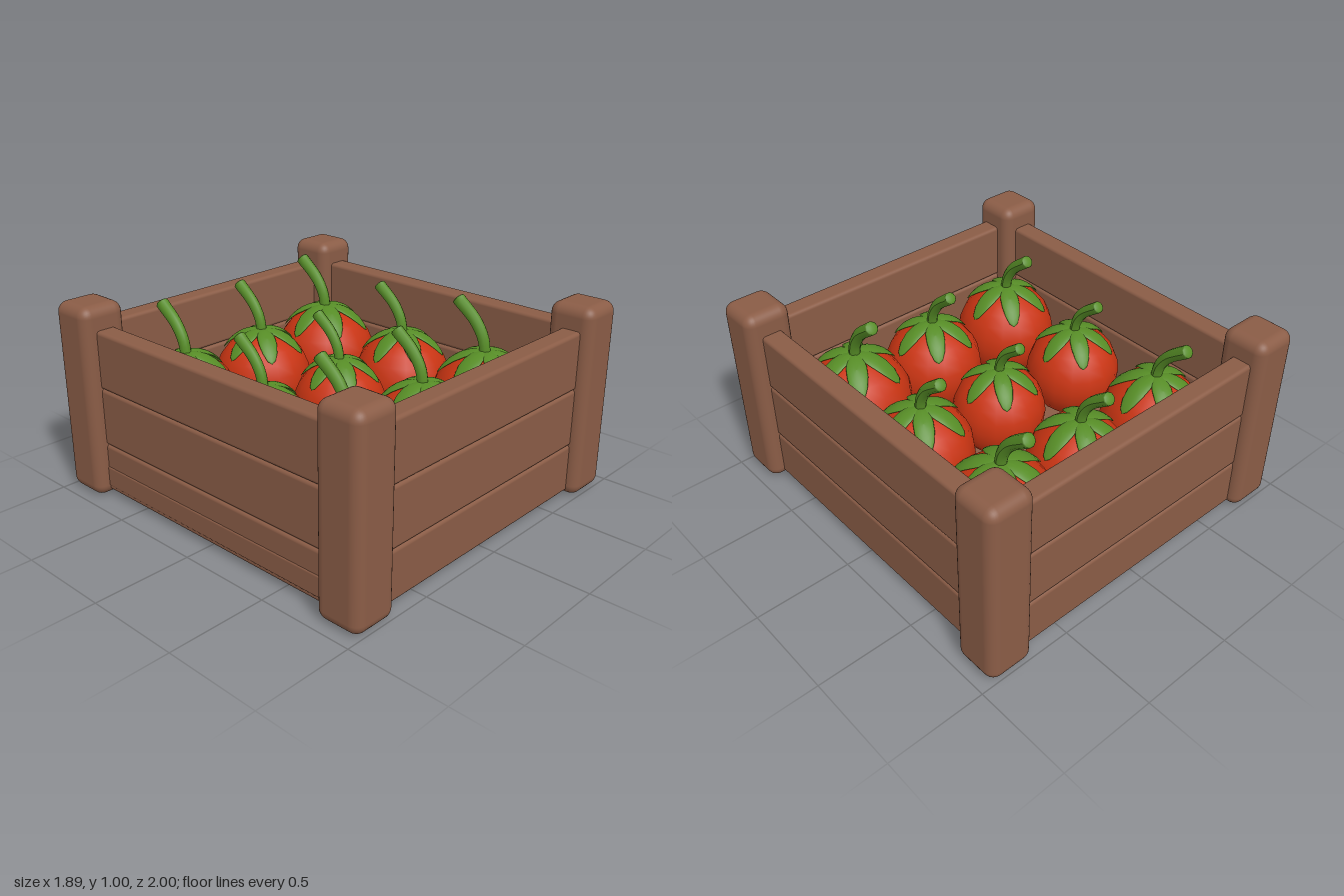
import * as THREE from 'three';
import { RoundedBoxGeometry } from 'three/addons/geometries/RoundedBoxGeometry.js';

const wood = new THREE.MeshStandardMaterial({ color: 0x8a5c46 });
wood.name = 'brown wood';
const red = new THREE.MeshStandardMaterial({ color: 0xc93412 });
red.name = 'tomato red';
const green = new THREE.MeshStandardMaterial({ color: 0x568c26 });
green.name = 'leaf green';

function add(parent, name, geometry, material, x = 0, y = 0, z = 0) {
  const mesh = new THREE.Mesh(geometry, material);
  mesh.name = name;
  mesh.position.set(x, y, z);
  parent.add(mesh);
  return mesh;
}

// Flattened oval draped over a unit sphere, pointing along +x
function leafGeometry() {
  const g = new THREE.SphereGeometry(1, 14, 10);
  const p = g.attributes.position;
  for (let i = 0; i < p.count; i++) {
    const x = 0.45 + p.getX(i) * 0.41;
    const z = p.getZ(i) * 0.19;
    const surface = Math.sqrt(Math.max(0, 1 - x * x - z * z));
    p.setXYZ(i, x, surface + 0.035 + p.getY(i) * 0.04, z);
  }
  g.computeVertexNormals();
  return g;
}

// Stem rising from the crown and curving back, thicker at the tip
function stemGeometry() {
  const path = new THREE.CatmullRomCurve3([
    new THREE.Vector3(0, 0.95, 0),
    new THREE.Vector3(0, 1.25, -0.06),
    new THREE.Vector3(0, 1.55, -0.25),
    new THREE.Vector3(0, 1.87, -0.64),
  ]);
  const rows = 12, sides = 10;
  const g = new THREE.TubeGeometry(path, rows, 0.125, sides, false);
  const p = g.attributes.position;
  const v = new THREE.Vector3();
  for (let i = 0; i < p.count; i++) {
    const t = Math.floor(i / (sides + 1)) / rows;
    const c = path.getPointAt(t);
    v.fromBufferAttribute(p, i).sub(c).multiplyScalar(0.82 + 0.18 * t).add(c);
    p.setXYZ(i, v.x, v.y, v.z);
  }
  g.computeVertexNormals();
  return { tube: g, tip: path.getPointAt(1), dir: path.getTangentAt(1) };
}

export function createModel() {
  const model = new THREE.Group();
  model.name = 'tomatoCrate';

  // Corner posts
  const post = new RoundedBoxGeometry(0.245, 1, 0.245, 4, 0.055);
  for (const sx of [-1, 1]) {
    for (const sz of [-1, 1]) add(model, 'cornerPost', post, wood, sx * 0.822, 0.5, sz * 0.877);
  }

  // Three stacked planks on each wall
  for (const [bottom, top] of [[0.025, 0.28], [0.28, 0.58], [0.58, 0.88]]) {
    const h = top - bottom, y = (top + bottom) / 2;
    const endPlank = new RoundedBoxGeometry(1.46, h, 0.11, 3, 0.018);
    const sidePlank = new RoundedBoxGeometry(0.11, h, 1.56, 3, 0.018);
    for (const s of [-1, 1]) {
      add(model, s > 0 ? 'frontPlank' : 'backPlank', endPlank, wood, 0, y, s * 0.89);
      add(model, s > 0 ? 'leftPlank' : 'rightPlank', sidePlank, wood, s * 0.82, y, 0);
    }
  }

  // Floor boards
  const board = new RoundedBoxGeometry(0.34, 0.11, 1.72, 2, 0.01);
  for (let i = 0; i < 5; i++) add(model, 'floorBoard', board, wood, -0.71 + i * 0.34, 0.105, 0);

  // Tomatoes: [x, z, radius]
  const body = new THREE.SphereGeometry(1, 16, 12);
  const leaf = leafGeometry();
  const stem = stemGeometry();
  const tip = new THREE.SphereGeometry(0.125, 10, 6);
  const tomatoes = [
    [-0.495, -0.56, 0.263], [0.02, -0.56, 0.256], [0.505, -0.555, 0.277],
    [-0.5, 0.005, 0.244], [0.02, 0.005, 0.236], [0.51, 0.005, 0.257],
    [-0.495, 0.535, 0.263], [0.02, 0.535, 0.256], [0.505, 0.54, 0.277],
  ];
  for (const [x, z, r] of tomatoes) {
    const tomato = new THREE.Group();
    tomato.name = 'tomato';
    tomato.position.set(x, 0.45, z);
    tomato.scale.setScalar(r);
    add(tomato, 'fruit', body, red);
    for (let i = 0; i < 6; i++) add(tomato, 'leaf', leaf, green).rotation.y = (i * Math.PI) / 3;
    add(tomato, 'stem', stem.tube, green);
    // Slightly domed stem end
    const cap = add(tomato, 'stemTip', tip, green, stem.tip.x, stem.tip.y, stem.tip.z);
    cap.quaternion.setFromUnitVectors(new THREE.Vector3(0, 1, 0), stem.dir);
    cap.scale.y = 0.3;
    model.add(tomato);
  }
  return model;
}
